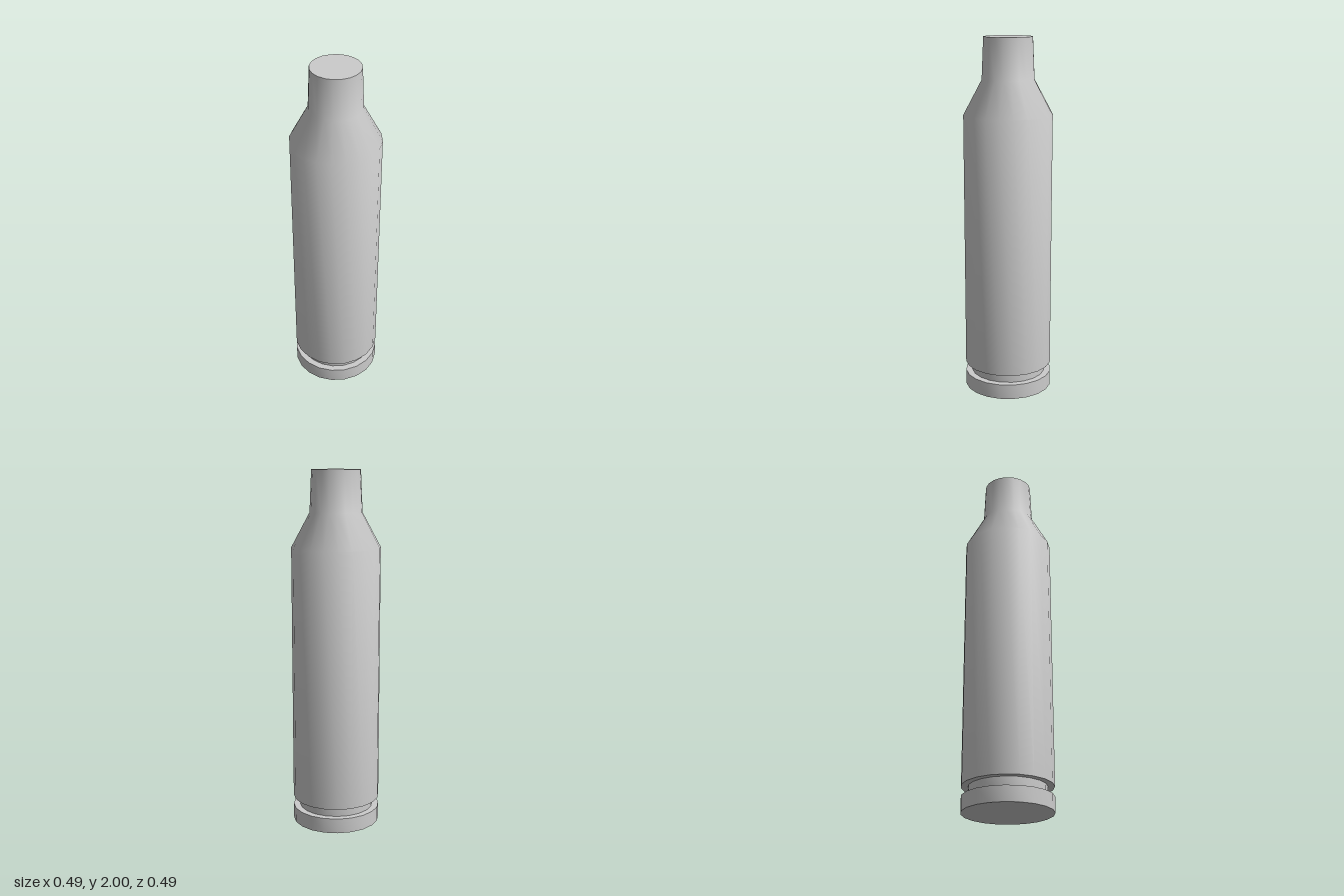
import * as THREE from 'three';
import { toCreasedNormals } from 'three/addons/utils/BufferGeometryUtils.js';

const SIDES = 20;

export function createModel() {
  const group = new THREE.Group();
  group.name = 'bottleneckCasing';

  // Closed outline from the centre of the base up to the centre of the mouth
  const profile = [
    [0, 0], [0.247, 0],            // base
    [0.247, 0.085], [0.21, 0.085], // rim
    [0.21, 0.14], [0.247, 0.14],   // extractor groove
    [0.247, 1.58],                 // body
    [0.145, 1.77],                 // shoulder
    [0.135, 2], [0, 2],            // neck and flat mouth
  ].map(([r, y]) => new THREE.Vector2(r, y));

  // Smooth around the barrel and over the shoulder, sharp at rim and mouth
  const geometry = toCreasedNormals(new THREE.LatheGeometry(profile, SIDES), THREE.MathUtils.degToRad(40));
  const casing = new THREE.Mesh(geometry, new THREE.MeshStandardMaterial({ color: 0xcccccc }));
  casing.name = 'casing';
  group.add(casing);
  return group;
}
